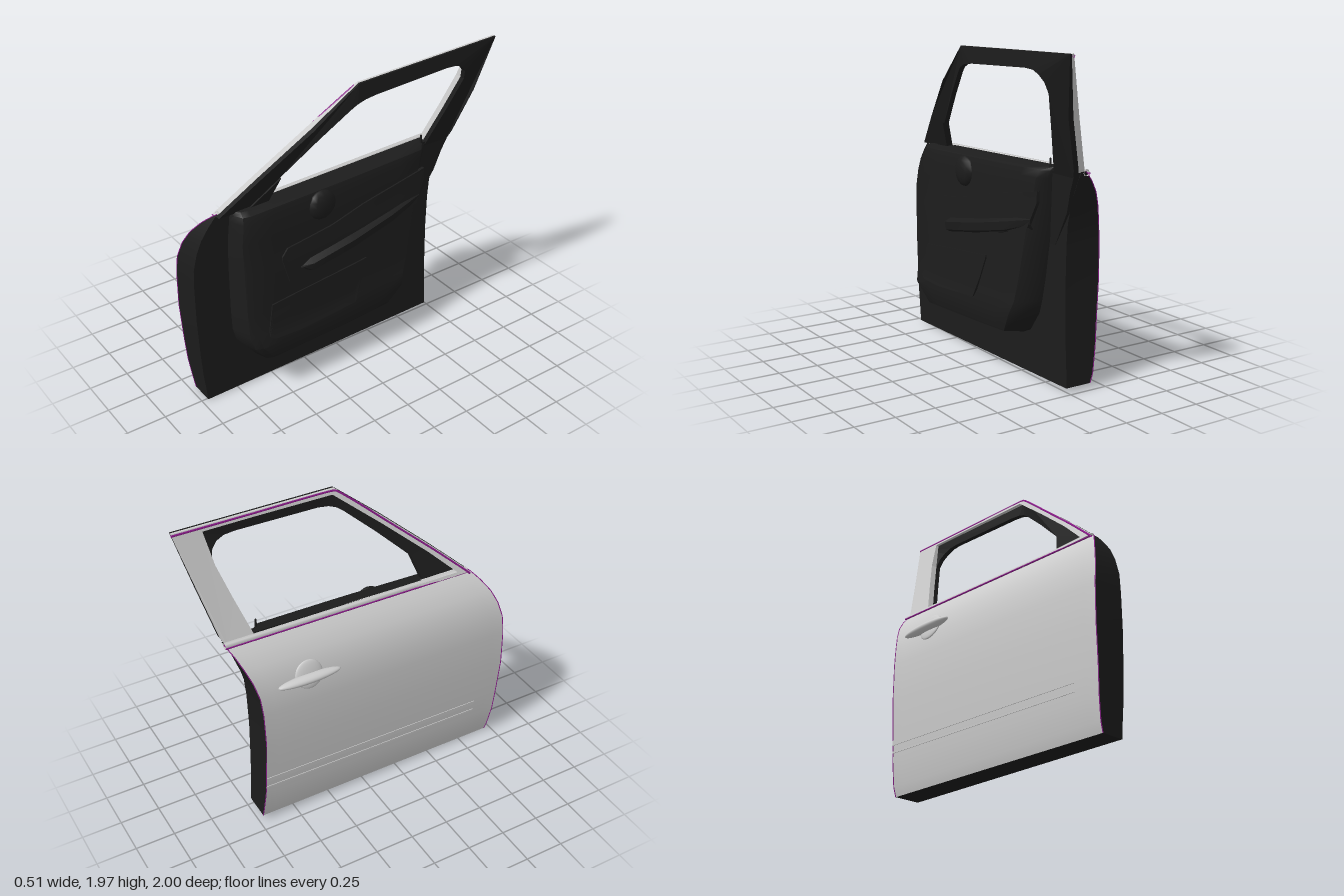
import * as THREE from 'three';
import { toCreasedNormals } from 'three/addons/utils/BufferGeometryUtils.js';

const mat = (color) => new THREE.MeshStandardMaterial({ color, side: THREE.DoubleSide });
const grey = mat(0xcccccc), dark = mat(0x1c1c1c), sealColor = mat(0x8a1a8a);
const { lerp, clamp } = THREE.MathUtils;
const TILT = 0.042; // every horizontal line rises slightly towards the rear

// Rows of [y, x, front z, rear z]
const SKIN = [
  [0, -0.16, 0.96, -0.72], [0.06, -0.178, 0.965, -0.72], [0.2, -0.2, 0.98, -0.71],
  [0.35, -0.209, 0.99, -0.705], [0.6, -0.224, 1.0, -0.7], [0.83, -0.219, 1.0, -0.705],
  [0.95, -0.205, 0.995, -0.715], [1.05, -0.178, 0.97, -0.74], [1.13, -0.14, 0.935, -0.77],
  [1.2, -0.088, 0.885, -0.8], [1.245, -0.042, 0.845, -0.825], [1.265, -0.02, 0.82, -0.835],
];
const TRIM = [
  [0.21, 0.01, 0.6, -0.3], [0.245, 0.165, 0.65, -0.36], [0.37, 0.2, 0.745, -0.45],
  [0.45, 0.177, 0.765, -0.475], [0.6, 0.168, 0.77, -0.51], [0.9, 0.15, 0.77, -0.56],
  [1.07, 0.13, 0.765, -0.59], [1.2, 0.127, 0.75, -0.62], [1.245, 0.112, 0.745, -0.635],
  [1.265, 0.075, 0.74, -0.64], [1.27, 0.005, 0.74, -0.64],
];

// Linear lookup of a column in a table sorted by its first column
function lookup(table, y, col) {
  let i = 1;
  while (i < table.length - 1 && table[i][0] < y) i++;
  const a = table[i - 1], b = table[i];
  return lerp(a[col], b[col], clamp((y - a[0]) / (b[0] - a[0]), 0, 1));
}

// Surface through rows of [x, y, z] points
function loft(rows, crease) {
  const n = rows[0].length, index = [];
  for (let i = 0; i < rows.length - 1; i++)
    for (let j = 0; j < n - 1; j++) {
      const a = i * n + j, b = a + 1, c = a + n, d = c + 1;
      index.push(a, b, d, a, d, c);
    }
  const g = new THREE.BufferGeometry();
  g.setAttribute('position', new THREE.Float32BufferAttribute(rows.flat(2), 3));
  g.setIndex(index);
  g.computeVertexNormals();
  return crease ? toCreasedNormals(g, crease) : g;
}

// Side-view outline of [z, y] points, extruded along x between two surfaces x = f(y, z)
function plate(outline, hole, from, to) {
  const pts = (list) => list.map(([z, y]) => new THREE.Vector2(-z, y));
  const shape = new THREE.Shape(pts(outline));
  if (hole) shape.holes.push(new THREE.Path(pts(hole)));
  const g = new THREE.ExtrudeGeometry(shape, { depth: 1, bevelEnabled: false }).rotateY(Math.PI / 2);
  const p = g.attributes.position;
  for (let i = 0; i < p.count; i++) {
    const y = p.getY(i), z = p.getZ(i);
    p.setX(i, lerp(from(y, z), to(y, z), p.getX(i)));
  }
  g.computeVertexNormals();
  return g;
}

function tube(points, radius) {
  const curve = new THREE.CatmullRomCurve3(points.map((p) => new THREE.Vector3(...p)), false, 'catmullrom', 0.1);
  return new THREE.TubeGeometry(curve, 80, radius, 6);
}

// Outer skin point: u runs from the front edge (0) to the rear edge (1)
function skinPoint([y, x, zf, zr], u, out = 0) {
  const bow = 0.024 * (1 - u);
  return [Math.min(x + bow, 0.005) - out, y + TILT * u * (y < 0.1 ? 0.7 : 1), lerp(zf, zr, u)];
}
const skinRow = (y) => [y, lookup(SKIN, y, 1), lookup(SKIN, y, 2), lookup(SKIN, y, 3)];

// Trim depth at a side-view position
const fade = (z) => 1 - 0.2 * Math.max(0, -z);
const trimX = (y, z) => lookup(TRIM, y - TILT * (0.75 - z) / 1.4, 1) * fade(z);

// Patch lying on the trim, raised by a given height: rows of [z, low y, high y], front to rear
function trimPatch(rows, height) {
  const sections = rows.map(([z, lo, hi]) => {
    const ys = Array.from({ length: 7 }, (_, i) => lerp(lo, hi, i / 6));
    return [[trimX(lo, z) - 0.01, lo, z], ...ys.map((y) => [trimX(y, z) + height, y, z]), [trimX(hi, z) - 0.01, hi, z]];
  });
  const sunk = (s) => s.map(([, y, z]) => [trimX(y, z) - 0.01, y, z]);
  return loft([sunk(sections[0]), ...sections, sunk(sections[sections.length - 1])], 0.5);
}

// Window frame leans inwards and thins at the roof edge
const leanX = (y, z) => {
  const t = (y - 1.27) / 0.68;
  return -0.025 + t * (0.25 - 0.035 * Math.max(0, -z));
};
const frameX = (k) => (y, z) => leanX(y, z) + k * lerp(0.072, 0.026, clamp((y - 1.85) / 0.1, 0, 1));

export function createModel() {
  const door = new THREE.Group();
  door.name = 'carDoor';
  const add = (name, geometry, material) => {
    const m = new THREE.Mesh(geometry, material);
    m.name = name;
    door.add(m);
    return m;
  };

  // Outer skin
  const steps = Array.from({ length: 21 }, (_, i) => i / 20);
  add('outerSkin', loft(SKIN.map((r) => steps.map((u) => skinPoint(r, u)))), grey);

  // Inner shell: front, inner and rear faces, with a closed bottom
  const shell = SKIN.map((r) => {
    const f = skinPoint(r, 0), b = skinPoint(r, 1);
    return [f, [0.01, f[1], f[2]], [0.01, b[1], b[2]], b];
  });
  const [f0, , , b0] = shell[0];
  add('innerShell', loft([[f0, f0, b0, b0], ...shell], 0.6), dark);

  // Window frame: light outer rim and rear pillar, dark flange set back around the glass
  const outline = [[0.83, 1.255], [0.6, 1.46], [0.3, 1.715], [0.02, 1.945], [-0.5, 1.956], [-1, 1.966],
    [-0.91, 1.62], [-0.835, 1.32], [-0.81, 1.27]];
  const pillarEdge = [[-0.787, 1.74], [-0.72, 1.53], [-0.635, 1.285]];
  const rimOpening = [[0.74, 1.275], [0.56, 1.445], [0.28, 1.685], [0.0, 1.915], [-0.5, 1.927], [-0.82, 1.932],
    ...pillarEdge];
  const opening = [[0.515, 1.265], [0.46, 1.43], [0.25, 1.63], [0.07, 1.79], [0.03, 1.82], [-0.02, 1.84],
    [-0.09, 1.85], [-0.62, 1.867], [-0.69, 1.862], [-0.74, 1.84], [-0.775, 1.8], ...pillarEdge];
  add('windowFrameRim', plate(outline, rimOpening, frameX(0), frameX(0.55)), grey);
  add('windowFrameFlange', plate(outline, opening, frameX(0.55), frameX(1)), dark);
  add('mirrorCorner', plate([[0.64, 1.26], [0.46, 1.43], [0.515, 1.26]], null, frameX(1), frameX(1.15)), dark);

  // Foot of the rear pillar, tapering into the shell
  add('pillarFoot', plate([[-0.62, 1.3], [-0.825, 1.3], [-0.775, 1.19], [-0.73, 1.06], [-0.6, 0.85], [-0.55, 0.85]],
    null, () => 0, (y) => lerp(0.012, 0.05, (y - 0.85) / 0.45)), dark);

  // Belt moulding and seals
  const top = SKIN[SKIN.length - 1];
  const belt = [0, 0.5, 1].map((u) => skinPoint(top, u, 0.006));
  add('beltMoulding', tube(belt.map(([x, y, z]) => [x, y - 0.008, z]), 0.02), grey);
  add('beltSeal', tube(belt.map(([x, y, z]) => [x - 0.02, y - 0.014, z]), 0.005), sealColor);
  add('frameSeal', tube(outline.slice(0, 6).map(([z, y]) => [leanX(y, z), y - 0.012, z]), 0.008), sealColor);
  for (const u of [0, 1])
    add(u ? 'rearEdgeSeal' : 'frontEdgeSeal', tube(SKIN.map((r) => skinPoint(r, u)), 0.003), sealColor);

  // Interior trim panel
  const inset = [[0, 0], [0.008, 0.4], [0.035, 0.88], [0.08, 1]];
  const trimRows = TRIM.map(([y, x, zf, zr]) => {
    const cols = inset.map(([d, k]) => [zf - d, k]);
    for (let i = 1; i < 8; i++) cols.push([lerp(zf - 0.08, zr + 0.07, i / 8), 1]);
    cols.push([zr + 0.07, 1], [zr + 0.02, 0.6], [zr, 0]);
    return cols.map(([z, k]) => [lerp(0.005, x * fade(z), k), y + TILT * (zf - z) / (zf - zr), z]);
  });
  add('trimPanel', loft(trimRows, 0.7), dark);

  // Raised trim band, map pocket and armrest
  add('trimBand', trimPatch([[0.49, 0.9, 0.93], [0.45, 0.75, 0.975], [0.3, 0.745, 0.995], [0.13, 0.78, 1.02],
    [-0.1, 0.84, 1.08], [-0.35, 0.9, 1.125], [-0.51, 0.95, 1.155], [-0.575, 1.1, 1.168]], 0.01), dark);
  add('mapPocket', trimPatch([[0.61, 0.43, 0.47], [0.58, 0.41, 0.64], [0.4, 0.405, 0.66], [0.2, 0.418, 0.68],
    [-0.01, 0.435, 0.7], [-0.06, 0.56, 0.705], [-0.11, 0.69, 0.71]], 0.009), dark);
  const arm = [[0.37, 0.8, 0.86, 0.17], [0.3, 0.76, 0.88, 0.2], [0, 0.81, 0.93, 0.194],
    [-0.3, 0.87, 0.99, 0.172], [-0.53, 0.94, 1.04, 0.14]];
  add('armrest', loft(arm.map(([z, lo, hi, x]) => [
    [trimX(lo, z) - 0.02, lo, z], [x - 0.005, lo + 0.03, z], [x, hi - 0.04, z], [trimX(hi, z) - 0.02, hi, z],
  ]), 0.5), dark);

  // Round speaker and lock pin
  const speaker = add('speaker', new THREE.SphereGeometry(0.095, 10, 8), dark);
  speaker.scale.x = 0.45;
  speaker.position.set(0.123, 1.17, 0.19);
  const pin = add('lockPin', new THREE.CylinderGeometry(0.006, 0.008, 0.07, 8), dark);
  pin.position.set(0.05, 1.32, -0.6);

  // Outside handle with its round cup
  const cup = add('handleCup', new THREE.SphereGeometry(1, 24, 16), grey);
  cup.scale.set(0.018, 0.09, 0.09);
  cup.rotation.z = -0.28;
  cup.position.set(-0.19, 1.04, -0.39);
  const handle = add('handle', new THREE.SphereGeometry(1, 24, 16), grey);
  handle.scale.set(0.038, 0.026, 0.205);
  handle.position.set(-0.219, 1.032, -0.4);

  // Slim side mouldings low on the skin
  for (const [y, h] of [[0.25, 0.012], [0.3, 0.03]])
    add('sideMoulding', loft([[y, 0], [y, 0.004], [y + h, 0.004], [y + h, 0]].map(([yy, out]) =>
      steps.slice(2).map((u) => skinPoint(skinRow(yy), u, out))), 0.6), grey);

  return door;
}
